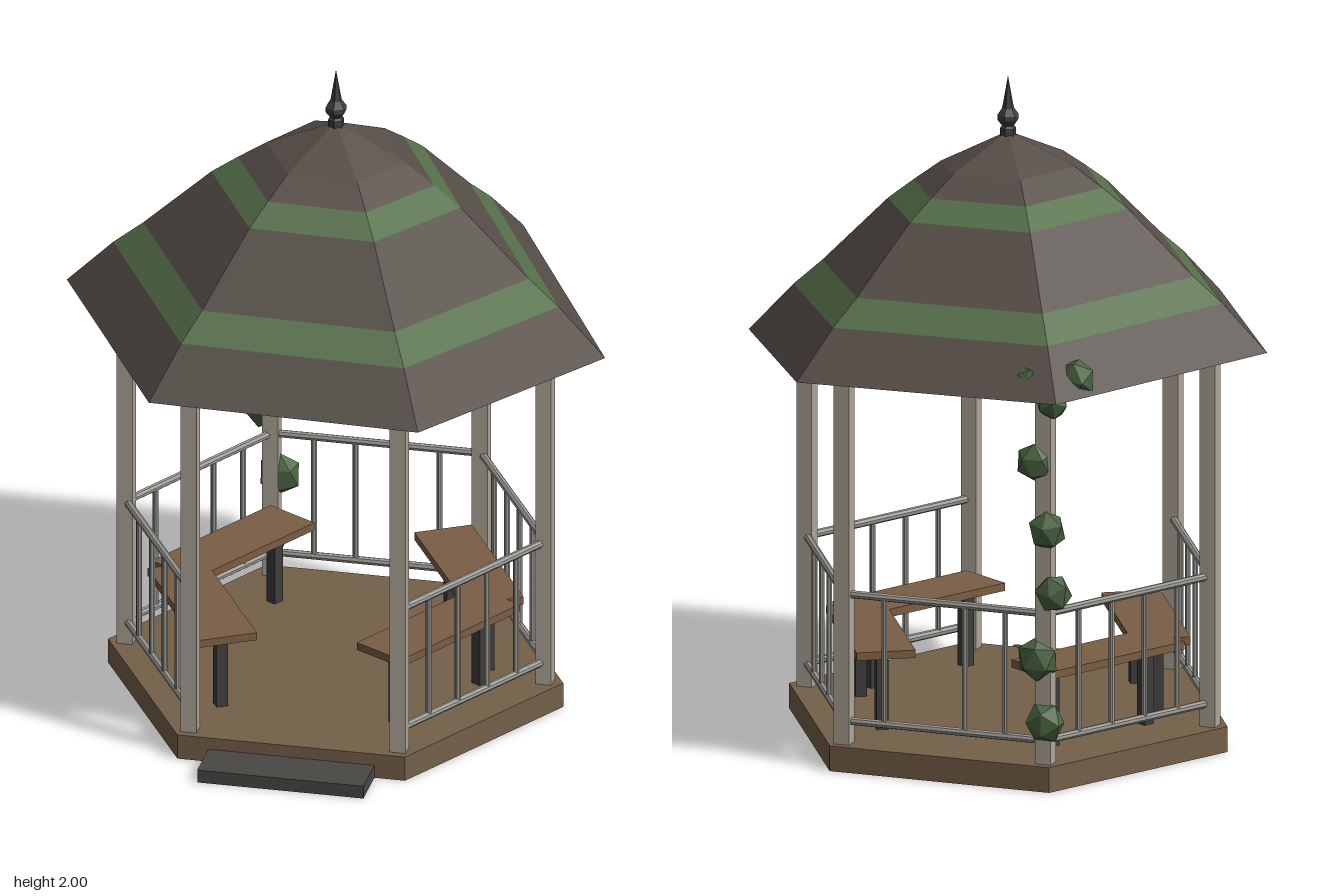
import * as THREE from 'three';

const mat = (name, color, side = THREE.FrontSide) => {
  const m = new THREE.MeshStandardMaterial({ color, side, flatShading: true });
  m.name = name;
  return m;
};

export function createModel() {
  const M = {
    shingle: mat('roofShingle', 0x564e48, THREE.DoubleSide),
    moss: mat('moss', 0x56704a, THREE.DoubleSide),
    post: mat('paintedPost', 0xaea698),
    rail: mat('paintedRail', 0x9c9b95),
    deck: mat('deckWood', 0x75604a),
    bench: mat('benchWood', 0x7a5e45),
    iron: mat('darkIron', 0x403e3d),
    stone: mat('stepStone', 0x4a4744),
    leaf: mat('ivy', 0x4b6642),
  };
  const model = new THREE.Group();
  model.name = 'gazebo';
  const CZ = -0.014;
  const V = (x, y, z) => new THREE.Vector3(x, y, z);
  const add = (name, geo, material, x = 0, y = 0, z = 0, parent = model) => {
    const mesh = new THREE.Mesh(geo, material);
    mesh.name = name;
    mesh.position.set(x, y, z);
    parent.add(mesh);
    return mesh;
  };
  const bar = (name, a, b, r, material) => {
    const m = add(name, new THREE.CylinderGeometry(r, r, a.distanceTo(b), 8), material);
    m.position.copy(a).lerp(b, 0.5);
    m.quaternion.setFromUnitVectors(V(0, 1, 0), b.clone().sub(a).normalize());
  };
  const corner = (i, r, y) => {
    const a = (i * Math.PI) / 3;
    return V(r * Math.cos(a), y, r * Math.sin(a) + CZ);
  };

  // Hexagonal deck and entrance step
  add('deck', new THREE.CylinderGeometry(0.685, 0.685, 0.077, 6).rotateY(Math.PI / 6), M.deck, 0, 0.0385, CZ);
  add('step', new THREE.BoxGeometry(0.5, 0.04, 0.155), M.stone, 0, 0.02, 0.647);

  // Posts, top beams and railings (front side stays open)
  for (let i = 0; i < 6; i++) {
    const p = corner(i, 0.63, 0);
    add('post', new THREE.BoxGeometry(0.048, 1.135, 0.048), M.post, p.x, 0.6445, p.z);
    bar('topBeam', corner(i, 0.63, 1.2), corner(i + 1, 0.63, 1.2), 0.016, M.post);
    if (i === 1) continue;
    for (const y of [0.145, 0.532])
      bar('rail', corner(i, 0.63, y), corner(i + 1, 0.63, y), 0.012, M.rail);
    for (let k = 1; k < 5; k++) {
      if (i === 4 && k === 3) continue; // one lost baluster
      const b = corner(i, 0.63, 0.145).lerp(corner(i + 1, 0.63, 0.145), k / 5);
      bar('baluster', b, V(b.x, 0.532, b.z), 0.009, M.rail);
    }
  }

  // Benches along the four side panels
  for (const deg of [30, 150, 210, 330]) {
    const bench = new THREE.Group();
    bench.name = 'bench';
    bench.position.z = CZ;
    bench.rotation.y = (-deg * Math.PI) / 180;
    model.add(bench);
    add('benchSeat', new THREE.BoxGeometry(0.176, 0.024, 0.515), M.bench, 0.41, 0.32, 0, bench);
    for (const s of [-1, 1])
      add('benchLeg', new THREE.BoxGeometry(0.035, 0.235, 0.035), M.iron, 0.41, 0.193, s * 0.18, bench);
  }

  // Sagging roof: rings between radii, with mossy bands
  const eave = [-0.044, -0.002, 0.01, 0.041, 0.03, 0.02];
  const profile = [[0.81, 1.19], [0.67, 1.335], [0.58, 1.412], [0.375, 1.61], [0.295, 1.67], [0.21, 1.73], [0, 1.83]];
  const roofPoint = (j, i) => {
    const [r, y] = profile[j];
    return corner(i, r, y + eave[i % 6] * (r / 0.81)).add(V(0, 0, -0.004));
  };
  for (let j = 0; j < 6; j++) {
    const pts = [];
    for (let i = 0; i < 6; i++) {
      const a = roofPoint(j, i), b = roofPoint(j + 1, i), c = roofPoint(j, i + 1), d = roofPoint(j + 1, i + 1);
      pts.push(a, b, c);
      if (j < 5) pts.push(c, b, d);
    }
    const geo = new THREE.BufferGeometry().setFromPoints(pts);
    geo.computeVertexNormals();
    const green = j === 1 || j === 3;
    add(green ? 'mossBand' : 'roofRing', geo, green ? M.moss : M.shingle);
  }

  // Finial
  const finial = [[0.024, 1.815], [0.024, 1.84], [0.018, 1.847], [0.032, 1.866], [0.032, 1.88], [0.018, 1.9], [0.014, 1.92], [0, 2]];
  add('finial', new THREE.LatheGeometry(finial.map(([x, y]) => new THREE.Vector2(x, y)), 6), M.iron, 0, 0, -0.018);

  // Ivy clumps climbing the back post and reaching through the eave
  const clumps = [
    [-0.32, 0.205, -0.58, 0.062], [-0.295, 0.395, -0.575, 0.066], [-0.345, 0.6, -0.575, 0.058],
    [-0.325, 0.79, -0.575, 0.06], [-0.285, 0.995, -0.575, 0.058], [-0.34, 1.18, -0.575, 0.05],
    [-0.42, 1.265, -0.585, 0.06], [-0.29, 1.27, -0.65, 0.036],
  ];
  clumps.forEach(([x, y, z, r], i) => {
    const geo = new THREE.IcosahedronGeometry(r, 0).rotateX(i * 1.3).rotateZ(i * 2.1).scale(1, 1.05, 0.7);
    add('ivyClump', geo, M.leaf, x, y, z);
  });
  return model;
}
